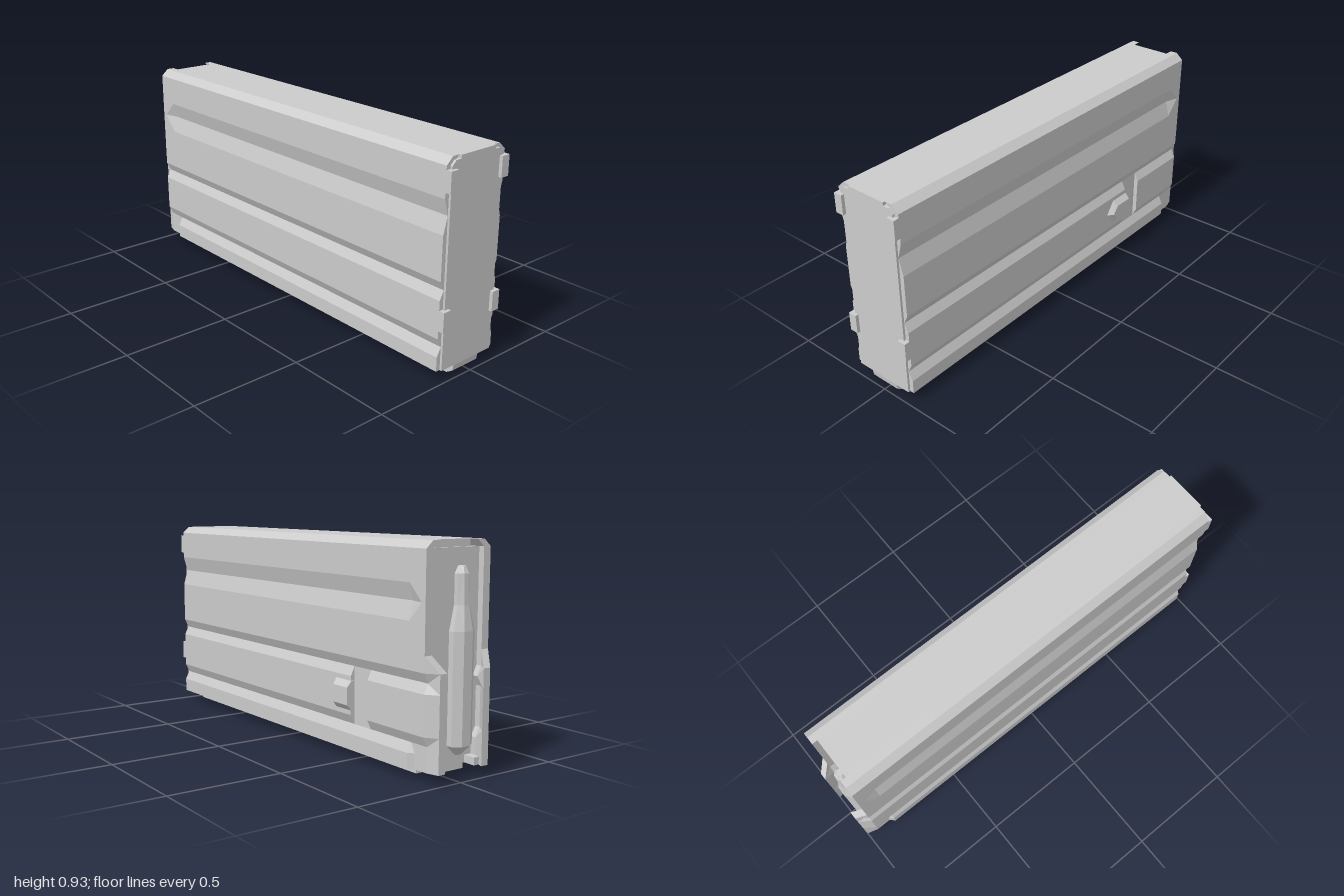
import * as THREE from 'three';

const mat = new THREE.MeshStandardMaterial({ color: 0xcccccc, flatShading: true });

function meshFrom(name, geometry) {
  const m = new THREE.Mesh(geometry, mat);
  m.name = name;
  return m;
}

function box(name, x0, x1, y0, y1, z0, z1) {
  const g = new THREE.BoxGeometry(x1 - x0, y1 - y0, z1 - z0);
  g.translate((x0 + x1) / 2, (y0 + y1) / 2, (z0 + z1) / 2);
  return meshFrom(name, g);
}

// Collects quads, splitting each along the diagonal that is flattest in x
function quadBuilder(flip) {
  const pos = [];
  const tri = (a, b, c) => pos.push(...a, ...(flip ? c : b), ...(flip ? b : c));
  return {
    quad(a, b, c, d) {
      if (Math.abs(a[0] - c[0]) <= Math.abs(b[0] - d[0])) { tri(a, b, c); tri(a, c, d); }
      else { tri(a, b, d); tri(b, c, d); }
    },
    tri,
    build() {
      const g = new THREE.BufferGeometry();
      g.setAttribute('position', new THREE.Float32BufferAttribute(pos, 3));
      g.computeVertexNormals();
      return g;
    },
  };
}

// Closed loft through rings of points, with fan caps
function loft(rings) {
  const q = quadBuilder(false);
  const n = rings[0].length;
  for (let i = 0; i + 1 < rings.length; i++)
    for (let j = 0; j < n; j++) {
      const k = (j + 1) % n;
      q.quad(rings[i][j], rings[i][k], rings[i + 1][k], rings[i + 1][j]);
    }
  const first = rings[0], last = rings[rings.length - 1];
  for (let j = 1; j + 1 < n; j++) {
    q.tri(first[0], first[j + 1], first[j]);
    q.tri(last[0], last[j], last[j + 1]);
  }
  return q.build();
}

// Pressed sheet wall: [height, groove depth] up the side
const wallProfile = [
  [0.047, 0], [0.11, 0], [0.15, 0.02], [0.19, 0], [0.355, 0], [0.395, 0.02], [0.435, 0],
  [0.5, 0], [0.625, 0], [0.7, 0.02], [0.77, 0], [0.9, 0], [0.93, 0.033],
];
const wallStations = [0.975, -0.5, -0.5, -0.61, -0.61, -0.86, -0.93, -0.95, -1];

function wall(side) {
  const thickness = 0.035;
  const rows = wallStations.map((station, i) => {
    const outer = wallProfile.map(([y, groove]) => {
      let z = station, d = groove;
      // recess joining the two lower grooves, on one side only
      if (side > 0 && (i === 2 || i === 3) && y > 0.14 && y < 0.4) d = 0.02;
      // upper groove closes to a point
      if (y === 0.7 && i >= 6) d = 0;
      // lower rear corner is pressed in
      if (y < 0.12 && i >= 6) { d = 0.02; if (i === 6) z = -0.88; }
      // rear flange bends inward below the slanted step
      if (i === 8) {
        if (y < 0.45) d = 0.035;
        else z = -0.951;
      }
      return [0.165 - d, y, z];
    });
    const inner = outer.map(([x, y, z]) => [x - thickness, y, z]).reverse();
    return [...outer, ...inner].map(([x, y, z]) => [x * side, y, z]);
  });
  const q = quadBuilder(side < 0);
  const n = rows[0].length;
  for (let i = 0; i + 1 < rows.length; i++)
    for (let j = 0; j < n; j++) {
      const k = (j + 1) % n;
      q.quad(rows[i][j], rows[i + 1][j], rows[i + 1][k], rows[i][k]);
    }
  const f = rows[0], b = rows[rows.length - 1];
  for (let j = 0; j + 1 < wallProfile.length; j++) {
    q.quad(f[j], f[j + 1], f[n - 2 - j], f[n - 1 - j]);
    q.quad(b[j], b[n - 1 - j], b[n - 2 - j], b[j + 1]);
  }
  return meshFrom(side > 0 ? 'leftWall' : 'rightWall', q.build());
}

function extrude(points, depth) {
  const shape = new THREE.Shape(points.map(([x, y]) => new THREE.Vector2(x, y)));
  return new THREE.ExtrudeGeometry(shape, { depth, bevelEnabled: false });
}

export function createModel() {
  const root = new THREE.Group();
  root.name = 'ribbedCase';
  const body = new THREE.Group();
  body.name = 'body';
  body.position.x = -0.013;
  root.add(body);

  // Shell and inner block
  body.add(wall(1), wall(-1));
  body.add(box('innerBlock', -0.135, 0.135, 0.049, 0.9, -0.925, 0.97));
  body.add(box('topPanel', -0.097, 0.097, 0.895, 0.93, -0.91, 0.985));

  // Front plate with clipped upper corners
  const plate = extrude([
    [-0.145, 0.047], [0.145, 0.047], [0.145, 0.895], [0.125, 0.915], [-0.125, 0.915], [-0.145, 0.895],
  ], 0.03);
  plate.translate(0, 0, 0.955);
  body.add(meshFrom('frontPlate', plate));

  // Folded tabs at the front and feet at the rear, on both sides
  for (const s of [-1, 1]) {
    for (const y of [0.225, 0.795]) {
      const a = 0.125 * s, b = 0.165 * s;
      body.add(box('frontTab', Math.min(a, b), Math.max(a, b), y, y + 0.088, 0.965, 1));
    }
    const a = 0.075 * s, b = 0.12 * s;
    body.add(box('rearFoot', Math.min(a, b), Math.max(a, b), 0.049, 0.08, -0.98, -0.92));
  }

  // Stepped rail under the floor; shape x runs toward the rear
  const rail = extrude([
    [-0.985, 0.05], [-0.98, 0.02], [-0.95, 0], [0.81, 0], [0.81, 0.025], [0.92, 0.025], [0.92, 0.05],
  ], 0.146);
  rail.rotateY(Math.PI / 2);
  rail.translate(-0.073, 0, 0);
  body.add(meshFrom('bottomRail', rail));

  // Tapered upright rib on the rear panel: [height, half width, rear z]
  const rib = [
    [0.09, 0.015, -0.94], [0.13, 0.055, -0.975], [0.58, 0.055, -0.975],
    [0.68, 0.032, -0.962], [0.8, 0.032, -0.958], [0.83, 0.015, -0.945],
  ].map(([y, h, z]) => {
    const mid = (z - 0.925) / 2;
    return [[-h, -0.92], [h, -0.92], [h, mid], [h * 0.4, z], [-h * 0.4, z], [-h, mid]]
      .map(([x, zz]) => [x - 0.035, y, zz]);
  });
  // rings run upward, so each is turned to face outward
  body.add(meshFrom('rearRib', loft(rib)));

  // Pointed catch raised from one side
  const catchRing = (x, y0, y1, zSide, zTip) => [
    [x, y0, -0.505], [x, (y0 + y1) / 2, -0.505], [x, y1, -0.505],
    [x, y1, zSide], [x, (y0 + y1) / 2, zTip], [x, y0, zSide],
  ];
  body.add(meshFrom('sideCatch', loft([
    catchRing(0.155, 0.21, 0.335, -0.4, -0.355),
    catchRing(0.165, 0.21, 0.335, -0.4, -0.355),
    catchRing(0.188, 0.235, 0.31, -0.41, -0.38),
  ])));
  return root;
}
